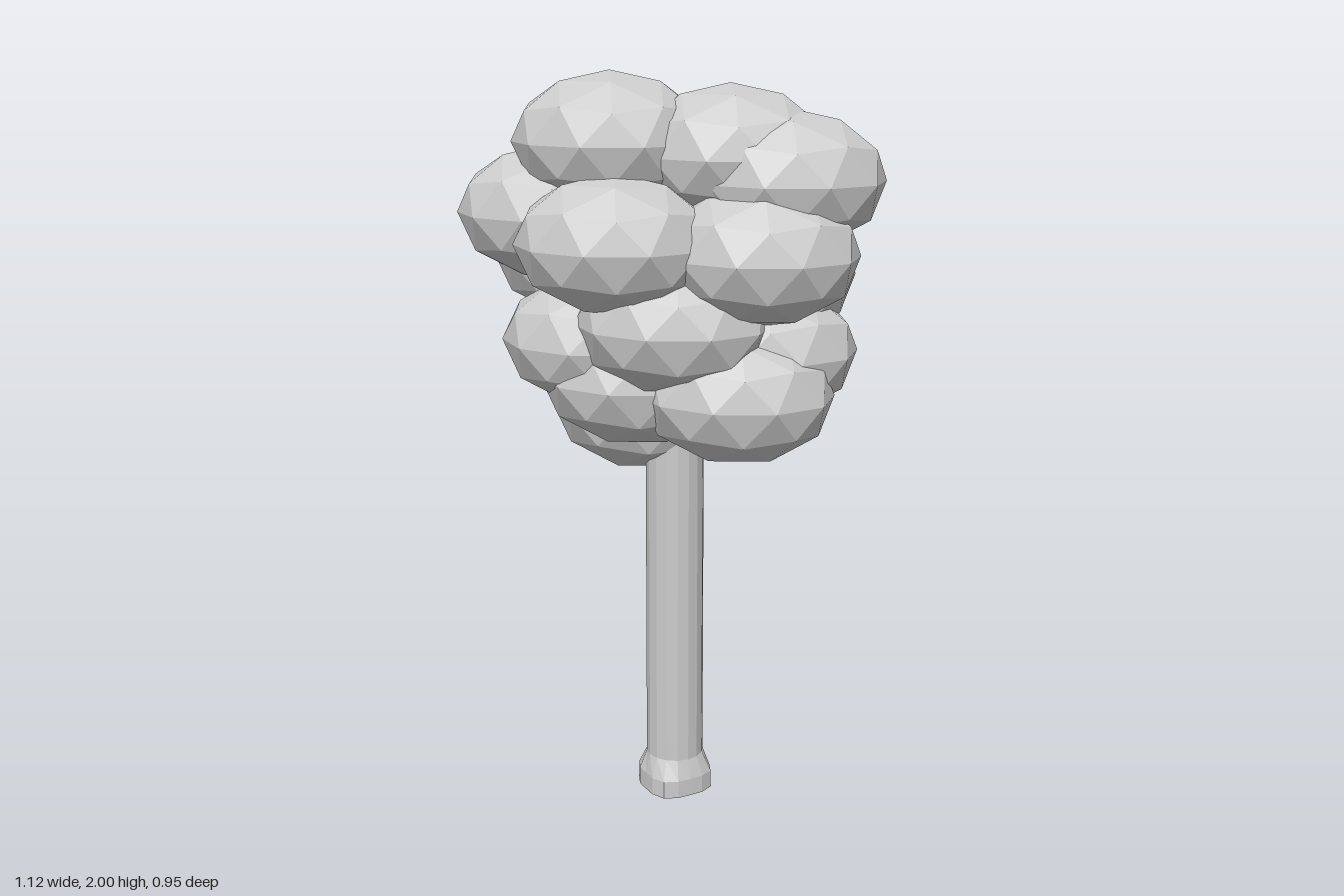
import * as THREE from 'three';

const bark = new THREE.MeshStandardMaterial({ color: 0xcccccc, flatShading: true });
const leaf = new THREE.MeshStandardMaterial({ color: 0xcccccc, flatShading: true });

// Centres of the leaf clumps, from the top of the crown down
const clumps = [
  [-0.142, 1.82, 0.1], [0.165, 1.79, 0.05], [0.313, 1.73, 0.06],
  [-0.09, 1.715, -0.165], [0.156, 1.705, -0.15], [-0.313, 1.63, 0.07],
  [-0.084, 1.575, 0.245], [0.27, 1.55, 0.155], [-0.28, 1.5, -0.09],
  [0.11, 1.46, -0.25], [0.22, 1.47, -0.06], [0.05, 1.365, 0.175],
  [-0.19, 1.295, 0.08], [-0.19, 1.33, -0.05], [0.243, 1.28, 0.01],
  [-0.06, 1.28, -0.14], [0.208, 1.18, 0.13], [-0.08, 1.2, 0.09],
  [-0.05, 1.17, -0.13], [-0.09, 1.1, -0.025],
];

// Low-poly clump with a vertex at the top, flattened and a little wider than deep
function clumpGeometry() {
  const geo = new THREE.IcosahedronGeometry(1, 1);
  geo.rotateZ(-Math.atan(2 / (1 + Math.sqrt(5))));
  geo.scale(0.26, 0.18, 0.226);
  return geo;
}

// Straight trunk that flares into four short root lobes at the ground
function trunkGeometry() {
  const profile = [[0, 0], [0.101, 0], [0.1, 0.05], [0.08, 0.105], [0.08, 0.2], [0.079, 1.2], [0, 1.2]];
  const geo = new THREE.LatheGeometry(profile.map(([r, y]) => new THREE.Vector2(r, y)), 16);
  const pos = geo.attributes.position;
  for (let i = 0; i < pos.count; i++) {
    if (pos.getY(i) > 0.06) continue;
    const x = pos.getX(i), z = pos.getZ(i);
    const k = 1 + 0.07 * Math.cos(4 * Math.atan2(z, x));
    pos.setX(i, x * k);
    pos.setZ(i, z * k);
  }
  geo.computeVertexNormals();
  return geo;
}

export function createModel() {
  const tree = new THREE.Group();
  tree.name = 'tree';

  const trunk = new THREE.Mesh(trunkGeometry(), bark);
  trunk.name = 'trunk';
  trunk.position.set(0.02, 0, 0.057);
  tree.add(trunk);

  const crown = new THREE.Group();
  crown.name = 'crown';
  const geo = clumpGeometry();
  clumps.forEach((p, i) => {
    const clump = new THREE.Mesh(geo, leaf);
    clump.name = `leafClump${i + 1}`;
    clump.position.set(...p);
    crown.add(clump);
  });
  tree.add(crown);
  return tree;
}
